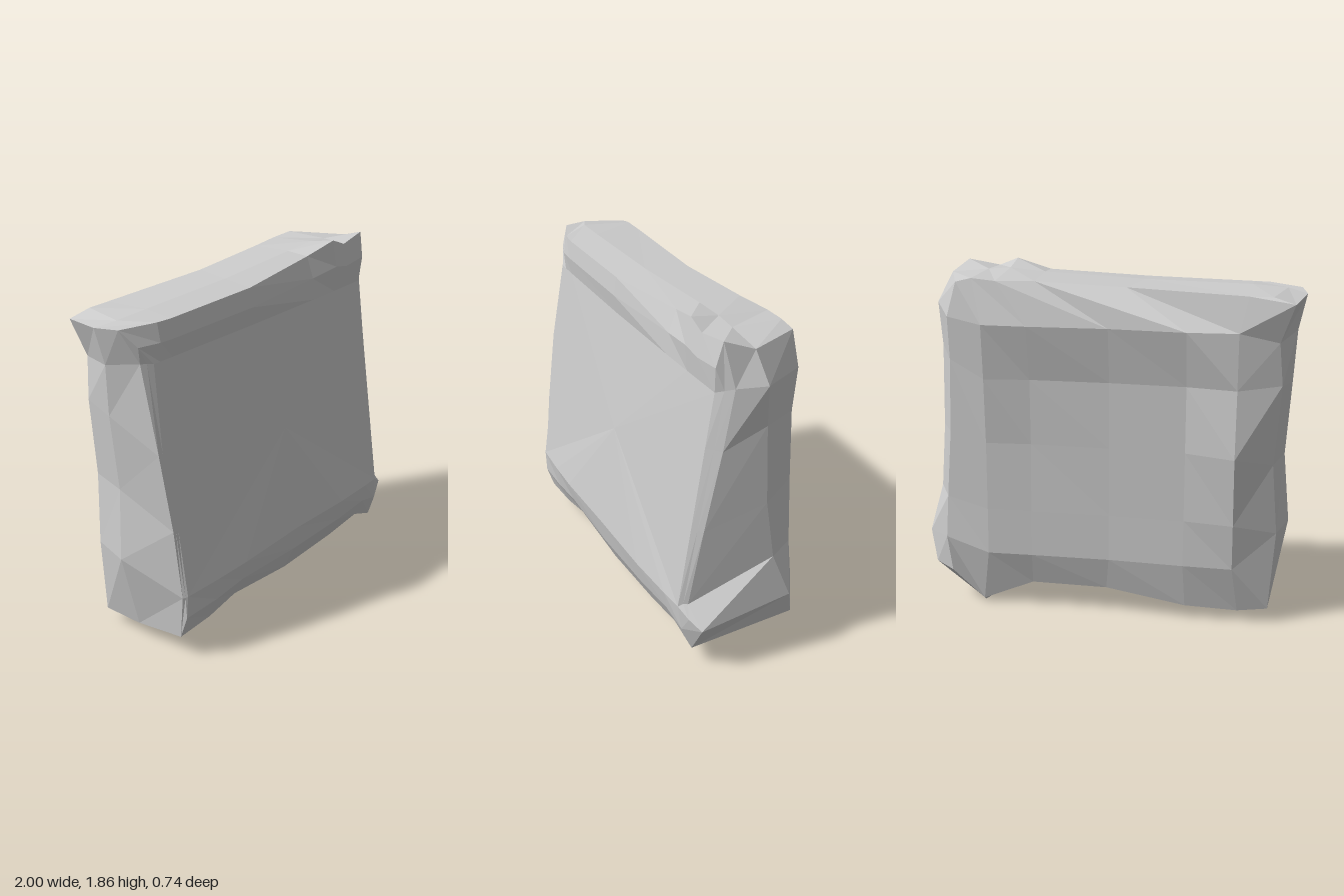
import * as THREE from 'three';

const N = 24; // points per ring: six along each side, from the lower left corner

// Rim around the front panel
const frontRim = [
  [-.85, .13, .28], [-.63, .14, .28], [-.43, .18, .28], [0, .14, .28], [.42, .155, .28], [.68, .18, .28],
  [.84, .115, .27], [.94, .3, .27], [.83, .41, .29], [.85, .85, .22], [.87, 1.3, .14], [.88, 1.63, .09],
  [.83, 1.86, .13], [.66, 1.83, .14], [.56, 1.87, .14], [.37, 1.82, .11], [-.16, 1.79, .16], [-.72, 1.78, .15],
  [-.8, 1.78, .14], [-.97, 1.77, .06], [-.9, 1.6, .12], [-.89, 1.15, .21], [-.87, .75, .27], [-.86, .38, .31],
];
// Ridge along the middle of the sides, running back into the lower corner block
const sideRidge = [
  [-.87, .1, 0], [-.7, .1, 0], [-.43, .12, 0], [0, .14, 0], [.41, .15, 0], [.69, .01, -.23],
  [.955, .235, -.26], [1, .4, -.21], [.95, .64, -.13], [.94, .98, -.08], [.935, 1.42, -.06], [.96, 1.65, -.04],
  [.88, 1.81, -.01], [.68, 1.83, -.01], [.56, 1.84, -.01], [.37, 1.825, -.02], [-.16, 1.8, -.01], [-.72, 1.79, -.01],
  [-.9, 1.78, -.02], [-1, 1.76, -.07], [-.96, 1.57, -.05], [-.945, 1.3, -.06], [-.92, .9, -.04], [-.955, .52, -.02],
];
// Rim around the back
const backRim = [
  [-.87, .09, -.24], [-.71, .07, -.25], [-.43, .085, -.27], [0, .15, -.26], [.41, .15, -.26], [.69, .03, -.26],
  [.85, .21, -.31], [.88, .4, -.3], [.87, .63, -.28], [.84, 1, -.28], [.83, 1.39, -.27], [.83, 1.62, -.29],
  [.78, 1.8, -.28], [.7, 1.82, -.27], [.57, 1.81, -.28], [.37, 1.81, -.25], [-.1, 1.79, -.23], [-.72, 1.77, -.27],
  [-.84, 1.77, -.27], [-.95, 1.74, -.29], [-.88, 1.54, -.26], [-.9, 1.32, -.25], [-.87, .9, -.25], [-.9, .52, -.23],
];
// Depths of the uneven back, from the bottom row up
const backColumns = [-.68, -.42, -.02, .4, .64];
const backRows = [.33, .58, .95, 1.3, 1.59];
const backDepths = [
  [-.31, -.31, -.3, -.31, -.32],
  [-.33, -.3, -.29, -.3, -.31],
  [-.365, -.29, -.28, -.28, -.3],
  [-.32, -.28, -.27, -.28, -.31],
  [-.31, -.33, -.31, -.33, -.33],
];

// Flat facets from lists of three or four corners
function facets(faces) {
  const out = [];
  for (const face of faces) {
    for (let k = 1; k < face.length - 1; k++) {
      const corners = [face[0], face[k], face[k + 1]];
      const [a, b, c] = corners.map(p => new THREE.Vector3(...p));
      if (new THREE.Triangle(a, b, c).getArea() > 1e-6) out.push(...corners.flat());
    }
  }
  const geometry = new THREE.BufferGeometry();
  geometry.setAttribute('position', new THREE.Float32BufferAttribute(out, 3));
  geometry.computeVertexNormals();
  return geometry;
}

// Joins rings from front to back
function band(rings) {
  const faces = [];
  for (let r = 0; r < rings.length - 1; r++) {
    const f = rings[r], b = rings[r + 1];
    for (let i = 0; i < N; i++) {
      const j = (i + 1) % N;
      faces.push([f[i], b[i], b[j], f[j]]);
    }
  }
  return faces;
}

// Fills the back rim with a seven by seven grid of points
function backFaces() {
  const point = (c, r) => {
    if (r === 0) return backRim[c];
    if (c === 6) return backRim[6 + r];
    if (r === 6) return backRim[18 - c];
    if (c === 0) return backRim[24 - r];
    return [backColumns[c - 1], backRows[r - 1], backDepths[r - 1][c - 1]];
  };
  const faces = [];
  for (let c = 0; c < 6; c++) {
    for (let r = 0; r < 6; r++) {
      faces.push([point(c, r), point(c, r + 1), point(c + 1, r + 1), point(c + 1, r)]);
    }
  }
  return faces;
}

export function createModel() {
  const stone = new THREE.MeshStandardMaterial({ color: 0xcccccc });
  stone.name = 'pale grey stone';
  const model = new THREE.Group();
  model.name = 'stoneSlab';
  const add = (name, faces) => {
    const mesh = new THREE.Mesh(facets(faces), stone);
    mesh.name = name;
    model.add(mesh);
  };

  // Leaning front panel with a two-step bevel up to its rim
  const slope = (x, y) => .37 - (y - .44) * .18 - .045 * x * x * (2 - y);
  const panel = frontRim.map(([px, py]) => {
    const x = THREE.MathUtils.clamp(px, -.84, .8);
    const y = THREE.MathUtils.clamp(py, .43 - .05 * Math.abs(x), 1.59);
    return [x, y, slope(x, y)];
  });
  const bevel = panel.map(([x, y, z], i) => {
    const [fx, fy, fz] = frontRim[i];
    return [(x + fx) / 2, (y + fy) / 2, (z + fz) / 2 + .07 * Math.abs(y - fy)];
  });
  const middle = [0, 1, slope(0, 1)];
  add('frontPanel', panel.map((p, i) => [middle, p, panel[(i + 1) % N]]));
  add('frontBevel', band([panel, bevel, frontRim]));

  // Rough top, bottom and sides
  add('edges', band([frontRim, sideRidge, backRim]));

  // Uneven back, bulging near its rim and slightly hollow in the middle
  add('back', backFaces());
  return model;
}
